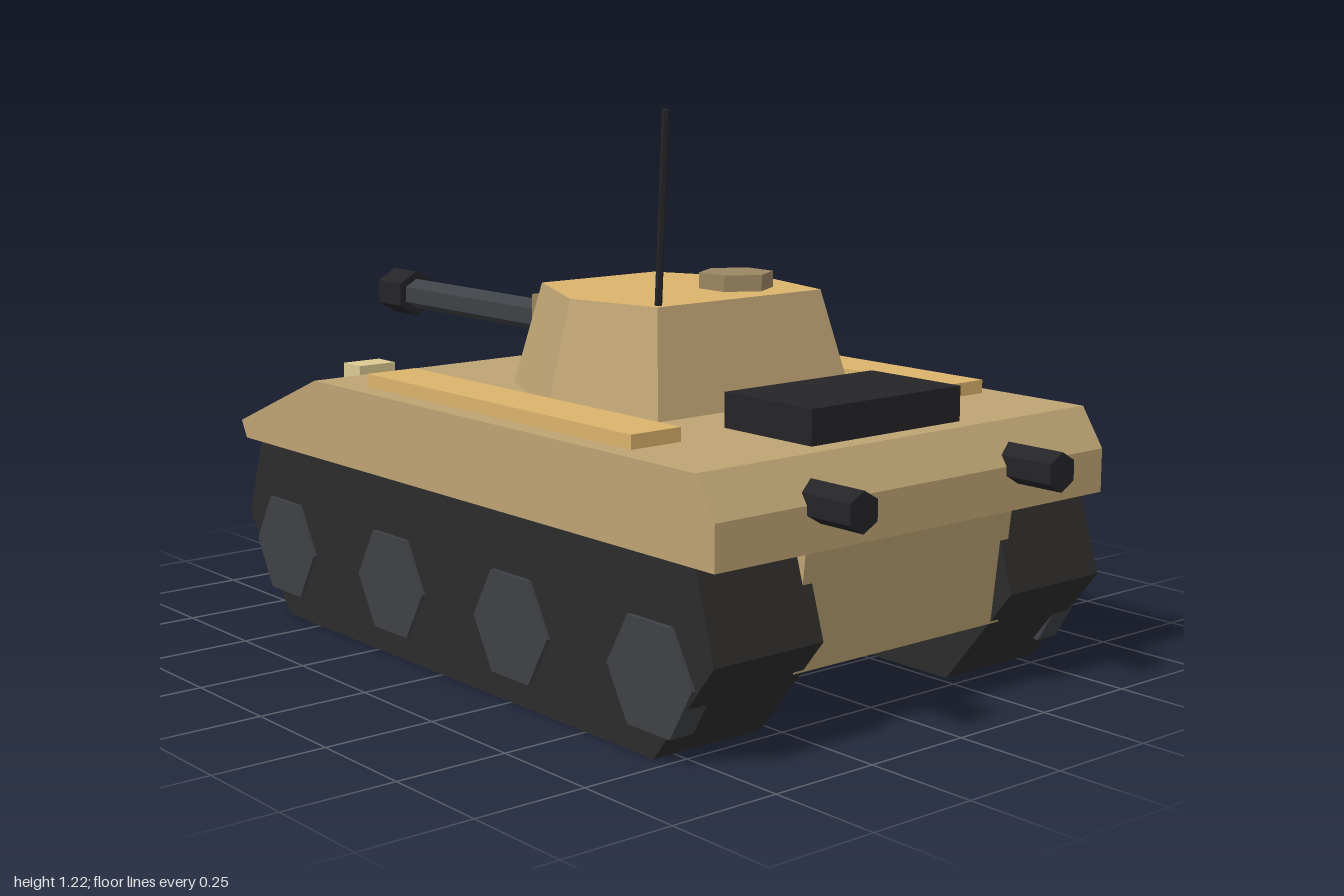
import * as THREE from 'three';

const paint = (color) => new THREE.MeshStandardMaterial({ color, flatShading: true });

export function createModel() {
  const model = new THREE.Group();
  const tan = paint(0xbfa474), sand = paint(0xdcb36c), khaki = paint(0x9b8662);
  const rubber = paint(0x2d2c2b), steel = paint(0x3e4146), black = paint(0x252528), lamp = paint(0xdccb92);

  const add = (name, geometry, material, x = 0, y = 0, z = 0) => {
    const mesh = new THREE.Mesh(geometry, material);
    mesh.name = name;
    mesh.position.set(x, y, z);
    model.add(mesh);
    return mesh;
  };
  // Side profile of [z, y] points, extruded across x and centred
  const slab = (points, width) => {
    const shape = new THREE.Shape(points.map(([z, y]) => new THREE.Vector2(-z, y)));
    return new THREE.ExtrudeGeometry(shape, { depth: width, bevelEnabled: false })
      .rotateY(Math.PI / 2).translate(-width / 2, 0, 0);
  };
  const box = (name, material, w, h, d, x, y, z) =>
    add(name, new THREE.BoxGeometry(w, h, d), material, x, y, z);
  // Six-sided rod running along z
  const rod = (name, material, r, z0, z1, x, y) =>
    add(name, new THREE.CylinderGeometry(r, r, z1 - z0, 6).rotateX(Math.PI / 2), material, x, y, (z0 + z1) / 2);

  // Hull
  add('upperHull', slab([[0.83, 0.58], [0.885, 0.495], [0.885, 0.4], [-0.818, 0.4], [-0.84, 0.44], [-0.5, 0.58]], 1.104), tan);
  add('lowerHull', slab([[0.86, 0.402], [0.83, 0.147], [-0.68, 0.147], [-0.818, 0.402]], 0.592), tan);

  // Running gear and fittings, mirrored on both sides
  const trackProfile = [[0.83, 0.4], [0.885, 0.22], [0.71, 0], [-0.635, 0], [-0.81, 0.22], [-0.75, 0.4]];
  for (const s of [-1, 1]) {
    add('track', slab(trackProfile, 0.28), rubber, s * 0.411);
    for (let i = 0; i < 4; i++) {
      const wheel = new THREE.CylinderGeometry(0.127, 0.127, 0.06, 6).rotateZ(Math.PI / 2);
      add('roadWheel', wheel, steel, s * 0.53, 0.165, 0.705 - i * 0.447);
    }
    box('sidePlate', sand, 0.127, 0.03, 0.935, s * 0.44, 0.595, 0.118);
    box('headlight', lamp, 0.1, 0.05, 0.07, s * 0.31, 0.555, -0.645);
    rod('exhaust', black, 0.042, 0.84, 1, s * 0.283, 0.497);
  }
  box('engineCover', black, 0.424, 0.075, 0.255, 0, 0.617, 0.657);

  // Turret: lower and upper outlines as [x, z], joined by sloping sides
  const outline = (half) => [...half, ...half.map(([x, z]) => [-x, z]).reverse()];
  const base = outline([[0.21, -0.195], [0.353, 0.12], [0.28, 0.4]]);
  const roof = outline([[0.165, -0.145], [0.29, 0.12], [0.235, 0.345]]);
  const positions = [];
  base.forEach(([x, z], i) => {
    const j = (i + 1) % base.length;
    const a = [x, 0.575, z], b = [base[j][0], 0.575, base[j][1]];
    const c = [roof[j][0], 0.81, roof[j][1]], d = [roof[i][0], 0.81, roof[i][1]];
    positions.push(...a, ...c, ...b, ...a, ...d, ...c);
  });
  const sides = new THREE.BufferGeometry();
  sides.setAttribute('position', new THREE.Float32BufferAttribute(positions, 3));
  sides.computeVertexNormals();
  add('turretSides', sides, tan);
  const roofShape = new THREE.Shape(roof.map(([x, z]) => new THREE.Vector2(x, -z)));
  add('turretRoof', new THREE.ShapeGeometry(roofShape).rotateX(-Math.PI / 2), sand, 0, 0.81, 0);
  add('hatch', new THREE.CylinderGeometry(0.084, 0.084, 0.036, 6), khaki, 0.112, 0.828, 0.203);

  // Gun
  box('mantlet', khaki, 0.23, 0.145, 0.13, 0, 0.697, -0.185);
  rod('barrel', steel, 0.038, -0.92, -0.2, 0, 0.697);
  rod('muzzle', black, 0.057, -1, -0.9, 0, 0.697);

  // Leaning antenna
  const foot = new THREE.Vector3(-0.214, 0.8, 0.322), tip = new THREE.Vector3(-0.242, 1.22, 0.378);
  const lean = tip.clone().sub(foot);
  const antenna = add('antenna', new THREE.CylinderGeometry(0.008, 0.008, lean.length(), 6), black);
  antenna.position.copy(foot).add(tip).multiplyScalar(0.5);
  antenna.quaternion.setFromUnitVectors(new THREE.Vector3(0, 1, 0), lean.normalize());

  return model;
}
